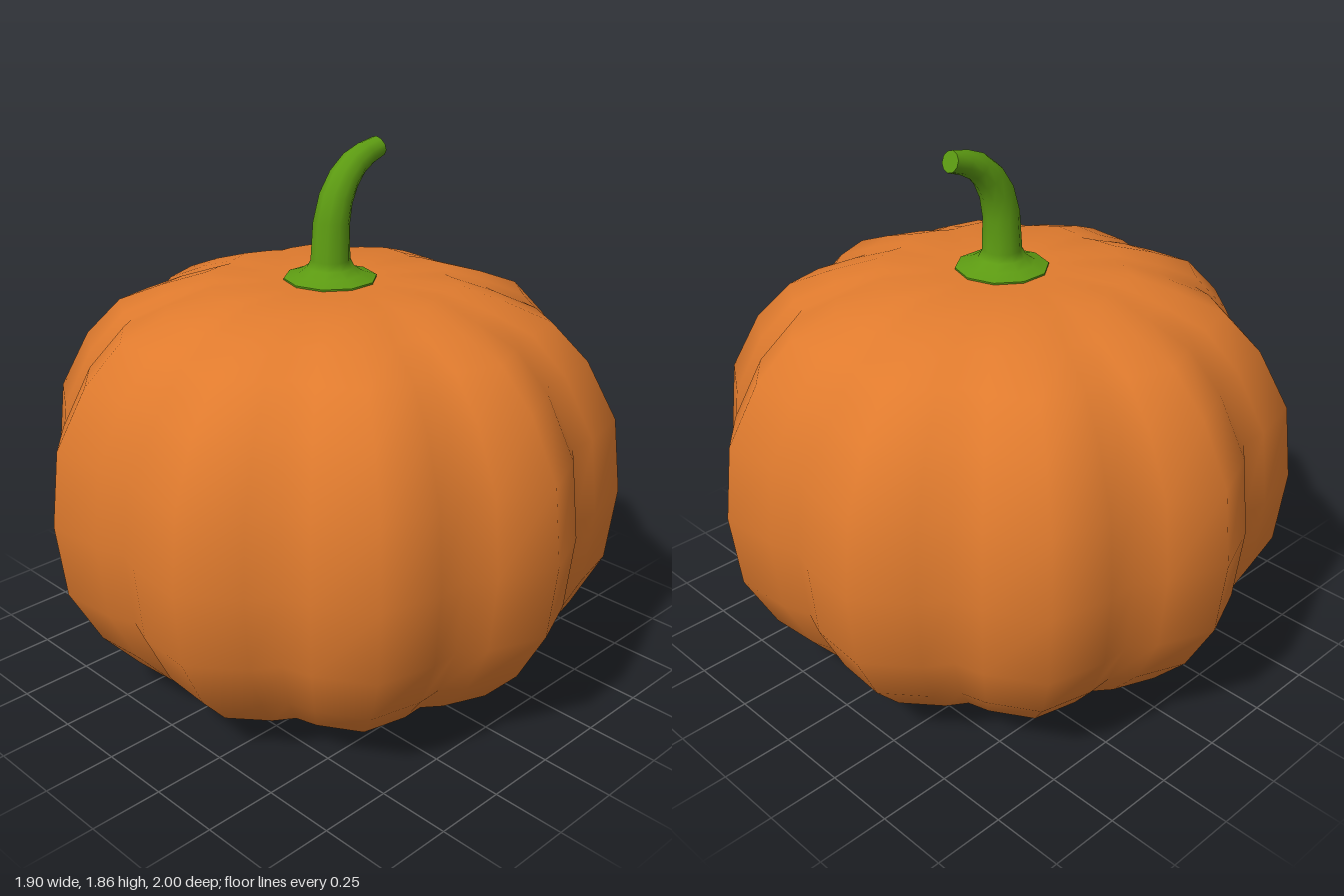
import * as THREE from 'three';

// Skin a stack of closed rings (bottom to top), capping both ends.
function loft(rings) {
  const n = rings[0].length;
  const points = rings.flat();
  const index = [];
  for (let j = 0; j < rings.length - 1; j++) {
    for (let i = 0; i < n; i++) {
      const k = (i + 1) % n;
      const a = j * n + i, b = j * n + k, c = b + n, d = a + n;
      index.push(a, b, c, a, c, d);
    }
  }
  const centre = ring => ring.reduce((s, p) => s.add(p), new THREE.Vector3()).divideScalar(n);
  const bottom = points.length, top = bottom + 1, last = (rings.length - 1) * n;
  points.push(centre(rings[0]), centre(rings[rings.length - 1]));
  for (let i = 0; i < n; i++) {
    const k = (i + 1) % n;
    index.push(bottom, k, i, top, last + i, last + k);
  }
  const geometry = new THREE.BufferGeometry().setFromPoints(points);
  geometry.setIndex(index);
  geometry.computeVertexNormals();
  return geometry;
}

// Ten-lobed body: each lobe has a ridge, two shoulders and a groove.
function bodyGeometry() {
  const lobe = [[0, 1], [12, 0.941], [18, 0.9], [24, 0.941]];
  const profile = [
    [0.2, 0], [0.43, 0.005], [0.595, 0.04], [0.74, 0.12], [0.865, 0.255], [0.97, 0.45],
    [1, 0.71], [0.97, 0.97], [0.865, 1.17], [0.74, 1.3], [0.59, 1.36], [0.43, 1.412], [0.2, 1.414],
  ];
  return loft(profile.map(([radius, y]) => {
    const ring = [];
    for (let l = 0; l < 10; l++) {
      for (const [degrees, scale] of lobe) {
        const a = THREE.MathUtils.degToRad(l * 36 + degrees);
        ring.push(new THREE.Vector3(radius * scale * Math.sin(a), y, radius * scale * Math.cos(a)));
      }
    }
    return ring;
  }));
}

// Curved stem: [x, y, radius, tilt towards +x]; repeated rows make crisp edges.
function stemGeometry() {
  const sections = [
    [0, 1.405, 0.157, 0], [0, 1.42, 0.157, 0], [0, 1.42, 0.157, 0],
    [0, 1.435, 0.11, 0], [0, 1.455, 0.08, 0], [0, 1.48, 0.067, 0],
    [0.004, 1.6, 0.062, 0.15], [0.025, 1.68, 0.058, 0.4], [0.062, 1.741, 0.053, 0.65],
    [0.11, 1.785, 0.047, 0.9], [0.165, 1.81, 0.041, 1.12],
    [0.223, 1.825, 0.036, 1.25], [0.223, 1.825, 0.036, 1.25],
  ];
  return loft(sections.map(([x, y, r, tilt]) =>
    Array.from({ length: 10 }, (_, i) => {
      const a = Math.PI / 2 + i * Math.PI / 5;
      const side = r * Math.sin(a);
      return new THREE.Vector3(x + side * Math.cos(tilt), y - side * Math.sin(tilt), r * Math.cos(a));
    })));
}

export function createModel() {
  const orange = new THREE.MeshStandardMaterial({ color: 0xe07b2e });
  orange.name = 'orange rind';
  const green = new THREE.MeshStandardMaterial({ color: 0x5c9a12 });
  green.name = 'green stem';

  const group = new THREE.Group();
  group.name = 'pumpkin';
  const body = new THREE.Mesh(bodyGeometry(), orange);
  body.name = 'body';
  const stem = new THREE.Mesh(stemGeometry(), green);
  stem.name = 'stem';
  group.add(body, stem);
  return group;
}
